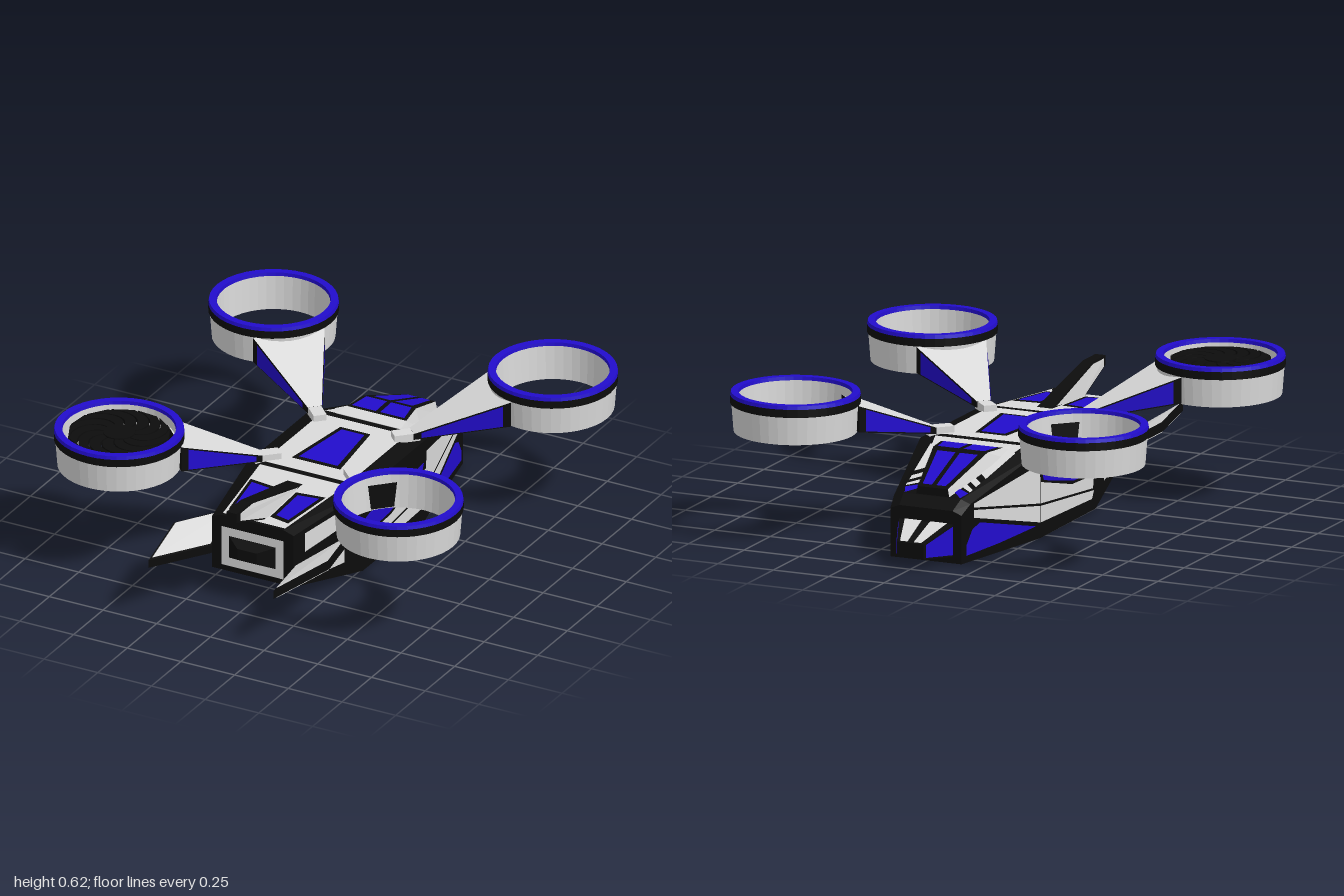
import * as THREE from 'three';

const paint = (name, color) => {
  const m = new THREE.MeshStandardMaterial({ color, flatShading: true, side: THREE.DoubleSide });
  m.name = name;
  return m;
};
const white = paint('light grey', 0xdadada);
const black = paint('black', 0x0c0c0c);
const blue = paint('blue', 0x220ccc);

const add = (parent, name, geometry, material) => {
  const mesh = new THREE.Mesh(geometry, material);
  mesh.name = name;
  parent.add(mesh);
  return mesh;
};

// Skin between equal loops of points, capped at both ends; one material per side, the last for caps
function loft(parent, name, rows, mats) {
  const pos = [], n = rows[0].length, g = new THREE.BufferGeometry();
  const all = Array.isArray(mats) ? mats : Array(n + 1).fill(mats);
  for (let j = 0; j < n; j++) {
    const start = pos.length / 3, k = (j + 1) % n;
    for (let i = 0; i + 1 < rows.length; i++) {
      const [a, b, c, d] = [rows[i][j], rows[i][k], rows[i + 1][k], rows[i + 1][j]];
      pos.push(...a, ...b, ...c, ...a, ...c, ...d);
    }
    g.addGroup(start, pos.length / 3 - start, j);
  }
  const start = pos.length / 3, first = rows[0], last = rows[rows.length - 1];
  for (let k = 1; k + 1 < n; k++) {
    pos.push(...last[0], ...last[k], ...last[k + 1], ...first[0], ...first[k + 1], ...first[k]);
  }
  g.addGroup(start, pos.length / 3 - start, n);
  g.setAttribute('position', new THREE.Float32BufferAttribute(pos, 3));
  g.computeVertexNormals();
  return add(parent, name, g, all);
}

// Thin convex panel lifted off a surface on the side given by "out"
function plate(parent, name, points, out, material, lift = 0.003, scale = 1) {
  let p = points.map((q) => new THREE.Vector3(...q));
  const mid = p.reduce((s, q) => s.add(q), new THREE.Vector3()).divideScalar(p.length);
  p.forEach((q) => q.sub(mid).multiplyScalar(scale).add(mid));
  const normal = new THREE.Vector3();
  new THREE.Triangle(p[0], p[1], p[2]).getNormal(normal);
  if (normal.dot(new THREE.Vector3(...out)) < 0) { p.reverse(); normal.negate(); }
  p.forEach((q) => q.addScaledVector(normal, lift));
  const pos = [];
  for (let k = 1; k + 1 < p.length; k++) for (const q of [p[0], p[k], p[k + 1]]) pos.push(q.x, q.y, q.z);
  const g = new THREE.BufferGeometry();
  g.setAttribute('position', new THREE.Float32BufferAttribute(pos, 3));
  g.computeVertexNormals();
  return add(parent, name, g, material);
}

// Hull outline along z, as [z, value] pairs
const along = (keys) => (z) => {
  let i = 0;
  while (i < keys.length - 2 && z > keys[i + 1][0]) i++;
  const [[z0, v0], [z1, v1]] = [keys[i], keys[i + 1]];
  return v0 + (v1 - v0) * (z - z0) / (z1 - z0);
};
const halfWidth = along([[-0.85, 0.16], [-0.33, 0.27], [0.2, 0.27], [0.64, 0.19]]);
const topY = along([[-0.85, 0.225], [-0.79, 0.262], [-0.33, 0.39], [0.2, 0.39], [0.64, 0.365]]);
const lowY = along([[-0.85, 0.005], [0.2, 0.012], [0.64, 0.115]]);

const onSide = (g, name, s, pts, m) =>
  plate(g, name, pts.map(([z, y]) => [s * halfWidth(z), y, z]), [s, 0, 0], m);
const onTop = (g, name, pts, m, lift) =>
  plate(g, name, pts.map(([x, z]) => [x, topY(z), z]), [0, 1, 0], m, lift);
const onBottom = (g, name, pts, m, lift) =>
  plate(g, name, pts.map(([x, z]) => [x, lowY(z), z]), [0, -1, 0], m, lift);
const trapezoid = (w0, z0, w1, z1) => [[-w0, z0], [w0, z0], [w1, z1], [-w1, z1]];

function buildHull(g) {
  const rows = [-0.85, -0.79, -0.33, 0.2, 0.64].map((z) => {
    const w = halfWidth(z), t = topY(z), b = lowY(z);
    return [[-w, b, z], [w, b, z], [w, t - 0.016, z], [w * 0.75, t, z], [-w * 0.75, t, z], [-w, t - 0.016, z]];
  });
  loft(g, 'hull', rows, black);

  // Roof panels and windows
  onTop(g, 'roofPanel', trapezoid(0.2, -0.3, 0.2, 0.185), white);
  onTop(g, 'roofWindowFrame', trapezoid(0.07, -0.23, 0.113, 0.105), black, 0.005);
  onTop(g, 'roofWindow', trapezoid(0.053, -0.21, 0.09, 0.085), blue, 0.007);
  onTop(g, 'frontRoofPanel', trapezoid(0.18, -0.42, 0.2, -0.335), white);
  onTop(g, 'rearRoofPanel', trapezoid(0.2, 0.215, 0.145, 0.63), white);

  // Belly panels
  onBottom(g, 'bellyBorder', [[-0.11, -0.79], [0.11, -0.79], [0.215, -0.3], [0.215, 0.2], [-0.215, 0.2], [-0.215, -0.3]], blue);
  onBottom(g, 'bellyPanel', [[-0.08, -0.63], [0.08, -0.63], [0.17, -0.3], [0.17, 0.2], [-0.17, 0.2], [-0.17, -0.3]], white, 0.005);
  onBottom(g, 'rearBellyBorder', trapezoid(0.215, 0.2, 0.14, 0.59), blue);
  onBottom(g, 'rearBellyPanel', trapezoid(0.17, 0.2, 0.11, 0.56), white, 0.005);

  for (const s of [1, -1]) {
    const flip = (pts) => pts.map(([x, z]) => [s * x, z]);
    // Rear roof windows and the strips beside the canopy
    onTop(g, 'rearWindowFrame', flip([[0.175, 0.34], [0.045, 0.355], [0.045, 0.575], [0.138, 0.592]]), black, 0.005);
    onTop(g, 'rearWindow', flip([[0.157, 0.362], [0.063, 0.375], [0.063, 0.556], [0.127, 0.57]]), blue, 0.007);
    onTop(g, 'canopyStrip', flip([[0.192, -0.4], [0.13, -0.4], [0.11, -0.57], [0.162, -0.62]]), white);
    onTop(g, 'canopyStrip', flip([[0.156, -0.655], [0.1, -0.605], [0.095, -0.64], [0.15, -0.69]]), white);
    onTop(g, 'canopyStrip', flip([[0.148, -0.715], [0.09, -0.665], [0.085, -0.695], [0.145, -0.735]]), white);
    onTop(g, 'noseWindow', flip([[0.142, -0.745], [0.08, -0.71], [0.08, -0.745], [0.125, -0.788]]), blue);

    // Side stripes
    onSide(g, 'sideStripe', s, [[0.187, 0.245], [0.15, 0.255], [-0.315, 0.278], [-0.3, 0.246], [-0.02, 0.18], [0.18, 0.17]], blue);
    onSide(g, 'upperSidePanel', s, [[0.18, 0.16], [-0.03, 0.168], [-0.1, 0.132], [0.17, 0.105]], white);
    onSide(g, 'upperSidePanel', s, [[-0.03, 0.168], [-0.33, 0.245], [-0.33, 0.155], [-0.1, 0.132]], white);
    onSide(g, 'upperSidePanel', s, [[-0.33, 0.245], [-0.34, 0.32], [-0.77, 0.245], [-0.77, 0.228], [-0.33, 0.155]], white);
    onSide(g, 'lowerSidePanel', s, [[0.18, 0.095], [-0.33, 0.145], [-0.33, 0.075], [0.16, 0.062]], white);
    onSide(g, 'lowerSidePanel', s, [[-0.33, 0.145], [-0.77, 0.218], [-0.77, 0.185], [-0.33, 0.075]], white);
    onSide(g, 'frontSidePanel', s, [[-0.36, 0.065], [-0.73, 0.158], [-0.78, 0.14], [-0.82, 0.08], [-0.82, 0.035], [-0.6, 0.045]], blue);
    onSide(g, 'rearUpperPanel', s, [[0.57, 0.25], [0.32, 0.27], [0.32, 0.345], [0.57, 0.335]], white);
    onSide(g, 'rearLowerPanel', s, [[0.59, 0.122], [0.32, 0.1], [0.32, 0.165], [0.57, 0.185]], white);
  }

  // Exhaust at the tail
  const rect = (w, y0, y1, z) => [[-w, y0, z], [w, y0, z], [w, y1, z], [-w, y1, z]];
  plate(g, 'exhaustFrame', rect(0.145, 0.14, 0.315, 0.64), [0, 0, 1], white);
  loft(g, 'exhaust', [rect(0.108, 0.18, 0.277, 0.63), rect(0.108, 0.18, 0.277, 0.645), rect(0.045, 0.205, 0.255, 0.69)], black);

  // Nose block
  const back = rect(0.125, 0.032, 0.172, -0.84), tip = rect(0.06, 0.048, 0.112, -1);
  loft(g, 'nose', [tip, back], black);
  for (const s of [1, -1]) {
    const [a, b] = s > 0 ? [1, 2] : [0, 3];
    plate(g, 'noseSide', [back[a], back[b], tip[b], tip[a]], [s, 0, 0], blue, 0.003, 0.86);
    plate(g, 'noseTop', [[s * 0.018, 0.172, -0.84], [s * 0.1, 0.172, -0.84], [s * 0.048, 0.112, -1], [s * 0.012, 0.112, -1]], [0, 1, 0], white, 0.003, 0.95);
  }
}

function buildCanopy(g) {
  const row = (z, wb, yb, wt, yt) => [[-wb, yb, z], [wb, yb, z], [wt, yt, z], [-wt, yt, z]];
  const rows = [row(-0.785, 0.08, 0.24, 0.068, 0.296), row(-0.52, 0.145, 0.31, 0.122, 0.396), row(-0.41, 0.155, 0.35, 0.138, 0.393), row(-0.34, 0.16, 0.37, 0.15, 0.389)];
  loft(g, 'canopy', rows.slice(0, 3), [black, white, black, white, black]);
  loft(g, 'canopyFairing', rows.slice(2), white);
  const roof = along([[-0.785, 0.296], [-0.52, 0.396], [-0.41, 0.393]]);
  for (const s of [1, -1]) {
    const pane = (pts) => plate(g, 'canopyPane', pts.map(([x, z]) => [s * x, roof(z), z]), [0, 1, 0], blue);
    pane([[0.01, -0.77], [0.052, -0.77], [0.092, -0.545], [0.01, -0.545]]);
    pane([[0.01, -0.515], [0.105, -0.515], [0.122, -0.422], [0.01, -0.422]]);
  }
}

function buildFins(g) {
  // Upright tail fin
  const outline = [[0.27, 0.385], [0.7, 0.49], [0.82, 0.49], [0.82, 0.45], [0.55, 0.35]];
  const face = (s) => outline.map(([z, y]) => [s * (z < 0.7 ? 0.035 : 0.023), y, z]);
  loft(g, 'tailFin', [face(-1), face(1)], black);
  for (const s of [1, -1]) plate(g, 'tailFinPanel', face(s), [s, 0, 0], white, 0.004, 0.86);

  // Side winglets, tilted up and outwards
  for (const s of [1, -1]) {
    const blade = (t) => {
      const p = [[s * 0.265, 0.185 + t, 0.31], [s * 0.195, 0.175 + t, 0.635], [s * 0.29, 0.245 + t, 0.995], [s * 0.362, 0.245 + t, 0.65]];
      return s > 0 ? p : [p[0], p[3], p[2], p[1]];
    };
    loft(g, 'winglet', [blade(0), blade(0.035)], black);
    plate(g, 'wingletTop', blade(0.035), [0, 1, 0], white, 0.004, 0.93);
    plate(g, 'wingletUnderside', blade(0), [0, -1, 0], white, 0.004, 0.93);
  }
}

function buildRotor(g) {
  const count = 12, steps = 8, r0 = 0.06, r1 = 0.21;
  const at = (r, a) => new THREE.Vector2(r * Math.cos(a), r * Math.sin(a));
  for (let i = 0; i < count; i++) {
    const pts = [];
    for (let side = 0; side < 2; side++) for (let k = 0; k <= steps; k++) {
      const t = side ? 1 - k / steps : k / steps, r = r0 + (r1 - r0) * t;
      const gap = 0.004 / r + 0.012 * t / r;
      pts.push(at(r, (i + side) * 2 * Math.PI / count - side * gap + 1.0 * t * t));
    }
    const blade = new THREE.ExtrudeGeometry(new THREE.Shape(pts), { depth: 0.02, bevelEnabled: false });
    add(g, 'rotorBlade', blade.rotateX(-Math.PI / 2).translate(0, 0.575, 0), black);
  }
  add(g, 'rotorHub', new THREE.CylinderGeometry(0.066, 0.066, 0.03, 24).translate(0, 0.585, 0), black);
}

// Ring duct at the local origin, with its arm running along local +x to the hull
function buildNacelle() {
  const g = new THREE.Group();
  g.name = 'nacelle';
  const lathe = (name, pts, m) => add(g, name, new THREE.LatheGeometry(pts.map((p) => new THREE.Vector2(...p)), 40), m);
  lathe('duct', [[0.232, 0.605], [0.228, 0.455], [0.253, 0.453], [0.262, 0.57]], white);
  lathe('ductBand', [[0.262, 0.57], [0.267, 0.572], [0.267, 0.605]], black);
  lathe('ductRim', [[0.267, 0.605], [0.264, 0.62], [0.234, 0.62], [0.232, 0.605]], blue);

  const end = (x, w, y0, y1) => [[x, y0, -w], [x, y1, -w], [x, y1, w], [x, y0, w]];
  const a = end(0.222, 0.152, 0.46, 0.57), b = end(0.6, 0.03, 0.393, 0.42);
  loft(g, 'arm', [a, b], [black, white, black, black, black]);
  plate(g, 'armPanel', [a[0], a[1], b[1], b[0]], [0, 0, -1], blue, 0.003, 0.84);
  plate(g, 'armPanel', [a[2], a[3], b[3], b[2]], [0, 0, 1], blue, 0.003, 0.84);
  add(g, 'armMount', new THREE.BoxGeometry(0.11, 0.035, 0.055).translate(0.625, 0.402, 0), white);
  return g;
}

export function createModel() {
  const model = new THREE.Group();
  model.name = 'ringRotorAircraft';
  const part = (name, build) => {
    const g = new THREE.Group();
    g.name = name;
    build(g);
    model.add(g);
  };
  part('body', buildHull);
  part('cockpit', buildCanopy);
  part('fins', buildFins);
  for (const s of [1, -1]) for (const [z, root] of [[-0.72, -0.27], [0.59, 0.15]]) {
    const n = buildNacelle();
    n.position.set(s * 0.65, 0, z);
    n.rotation.y = Math.atan2(z - root, -s * 0.45);
    if (s < 0 && z > 0) buildRotor(n);
    model.add(n);
  }
  return model;
}
